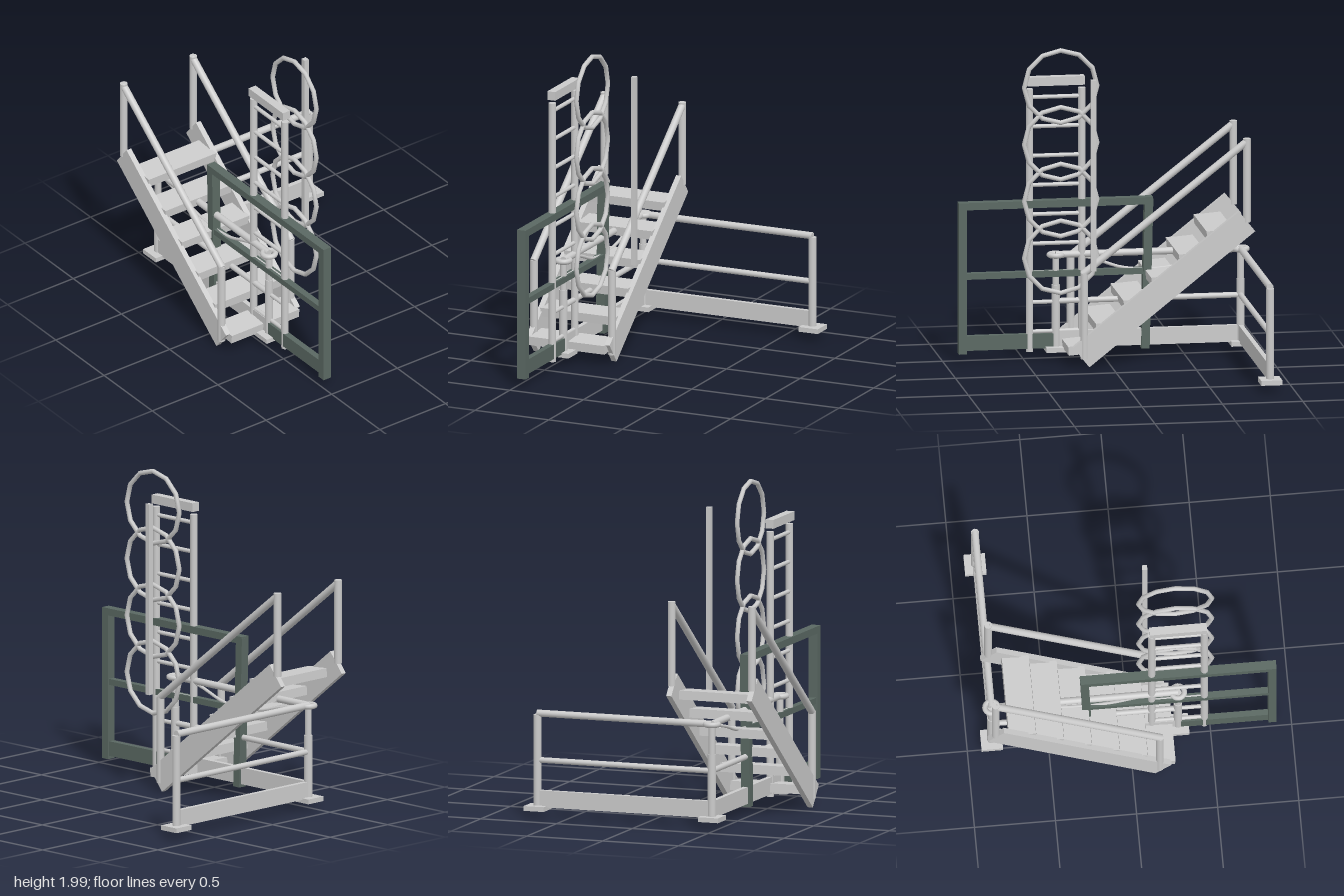
import * as THREE from 'three';

const steel = new THREE.MeshStandardMaterial({ color: 0xcbcbcb });
steel.name = 'light grey steel';
const green = new THREE.MeshStandardMaterial({ color: 0x5a6862 });
green.name = 'dark green paint';

const V = (x, y, z) => new THREE.Vector3(x, y, z);

function add(parent, name, geometry, material = steel) {
  const mesh = new THREE.Mesh(geometry, material);
  mesh.name = name;
  parent.add(mesh);
  return mesh;
}

// Box given by its lowest and highest corners
function box(parent, name, a, b, material) {
  const m = add(parent, name, new THREE.BoxGeometry(b[0] - a[0], b[1] - a[1], b[2] - a[2]), material);
  m.position.set((a[0] + b[0]) / 2, (a[1] + b[1]) / 2, (a[2] + b[2]) / 2);
  return m;
}

// Round bar between two points
function bar(parent, name, a, b, r) {
  const dir = b.clone().sub(a);
  const m = add(parent, name, new THREE.CylinderGeometry(r, r, dir.length(), 16));
  m.position.copy(a).add(b).multiplyScalar(0.5);
  m.quaternion.setFromUnitVectors(V(0, 1, 0), dir.normalize());
  return m;
}

function group(parent, name) {
  const g = new THREE.Group();
  g.name = name;
  parent.add(g);
  return g;
}

function makeStairs(root) {
  const g = group(root, 'stairs');
  const slope = Math.atan2(155, 195);
  for (const x of [-0.728, -0.199]) {
    // Sloping side board
    const board = add(g, 'stringer', new THREE.BoxGeometry(0.035, 0.162, 1.318));
    board.position.set(x, 0.482, -0.328);
    board.rotation.x = slope;
    // Handrail on two posts
    bar(g, 'lowerHandrailPost', V(x, 0.06, 0.167), V(x, 0.6, 0.167), 0.024);
    bar(g, 'upperHandrailPost', V(x, 0.886, -0.845), V(x, 1.41, -0.845), 0.024);
    bar(g, 'handrail', V(x, 0.592, 0.175), V(x, 1.395, -0.85), 0.023);
  }
  // Six treads, slightly tipped forward
  for (let i = 0; i < 6; i++) {
    const tread = add(g, 'tread', new THREE.BoxGeometry(0.515, 0.056, 0.167));
    tread.position.set(-0.4635, 0.115 + i * 0.139, 0.18 - i * 0.1722);
    tread.rotation.x = 0.08;
  }
}

function makeLadder(root) {
  const g = group(root, 'cagedLadder');
  const x = -0.463;
  for (const z of [0.465, 0.14]) bar(g, 'ladderRail', V(x, 0.06, z), V(x, 1.71, z), 0.023);
  for (let i = 0; i < 9; i++) {
    const y = 0.185 + i * 0.184;
    bar(g, 'rung', V(x, y, 0.14), V(x, y, 0.465), 0.013);
  }
  box(g, 'ladderTopBeam', [-0.49, 1.73, 0.125], [-0.437, 1.785, 0.48]);
  // Cage hoops
  for (let i = 0; i < 4; i++) {
    const hoop = add(g, 'cageHoop', new THREE.TorusGeometry(0.227, 0.015, 8, 12));
    hoop.position.set(-0.27, 0.69 + i * 0.3565, 0.302);
    hoop.rotation.y = Math.PI / 2;
  }
  box(g, 'cageStrap', [-0.08, 0.64, 0.116], [-0.048, 1.84, 0.148]);
}

function makeGate(root) {
  const g = group(root, 'gate');
  const [l, r] = [-0.494, -0.436];
  box(g, 'gateFrontPost', [l, 0.06, 0.857], [r, 1.01, 0.908], green);
  const back = box(g, 'gateBackPost', [l, 0.06, -0.29], [r, 1.0, -0.238], green);
  back.rotation.x = -0.025;
  box(g, 'gateTopRail', [l, 0.965, -0.3], [r, 1.01, 0.908], green);
  box(g, 'gateMiddleRail', [l + 0.008, 0.527, -0.26], [r - 0.008, 0.565, 0.86], green);
  box(g, 'gateKickBoard', [l + 0.01, 0.08, 0.3], [r - 0.01, 0.172, 0.86], green);
}

function makeGuardrail(root) {
  const g = group(root, 'guardrail');
  const cx = -0.465, cz = -0.848, ex = 0.685, fz = 0.302;
  // Posts on square feet; the two at the side run have sleeves and rings
  for (const [x, z, ringed] of [[cx, cz, true], [ex, cz, false], [cx, fz, true]]) {
    box(g, 'footPlate', [x - 0.066, 0.06, z - 0.066], [x + 0.066, 0.09, z + 0.066]);
    bar(g, 'guardPost', V(x, 0.06, z), V(x, 0.655, z), ringed ? 0.021 : 0.025);
    if (!ringed) continue;
    bar(g, 'postSleeve', V(x, 0.09, z), V(x, 0.475, z), 0.026);
    const ring = add(g, 'postRing', new THREE.TorusGeometry(0.04, 0.017, 10, 20));
    ring.position.set(x, 0.662, z);
    ring.rotation.x = Math.PI / 2;
  }
  // Back run
  bar(g, 'backTopRail', V(cx, 0.663, cz), V(ex, 0.663, cz), 0.022);
  bar(g, 'backMiddleRail', V(cx, 0.372, cz), V(ex, 0.372, cz), 0.018);
  box(g, 'backToeBoard', [cx, 0.08, cz - 0.015], [ex, 0.185, cz + 0.015]);
  // Side run
  bar(g, 'sideTopRail', V(cx, 0.663, cz), V(cx, 0.663, fz), 0.022);
  bar(g, 'sideMiddleRail', V(cx, 0.372, cz), V(cx, 0.372, fz), 0.018);
  box(g, 'sideToeBoard', [cx - 0.015, 0.08, cz], [cx + 0.015, 0.185, fz]);
  // Sagging safety line under the side rail
  const sag = [[0.28, 0.662], [0.1, 0.64], [-0.11, 0.57], [-0.28, 0.555], [-0.45, 0.57], [-0.6, 0.61], [-0.83, 0.657]];
  const line = new THREE.CatmullRomCurve3(sag.map(([z, y]) => V(cx, y, z)));
  add(g, 'safetyLine', new THREE.TubeGeometry(line, 24, 0.01, 8));
}

export function createModel() {
  const root = new THREE.Group();
  root.name = 'accessStairsAndLadder';
  makeStairs(root);
  makeLadder(root);
  makeGate(root);
  makeGuardrail(root);
  return root;
}
